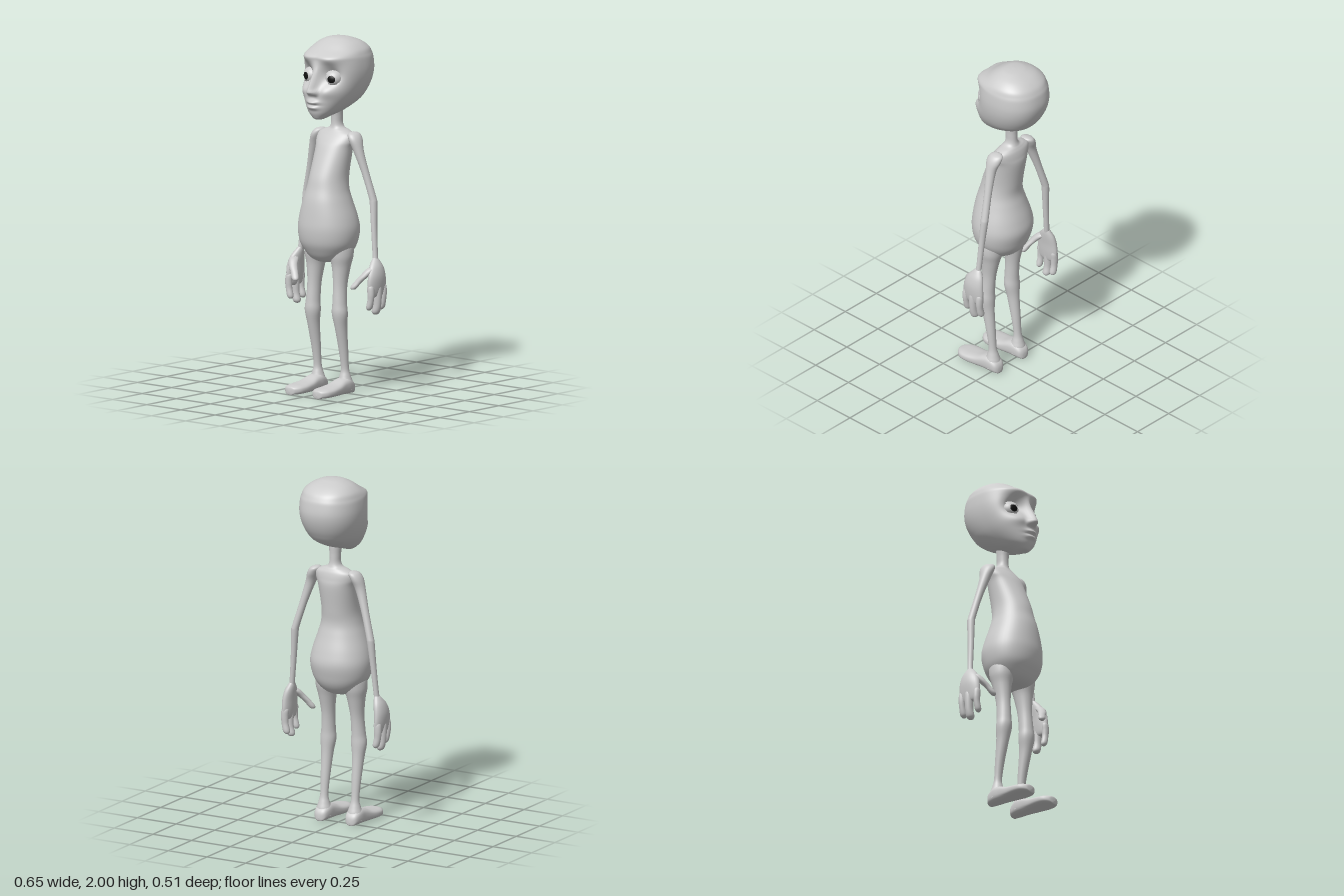
import * as THREE from 'three';

const skin = new THREE.MeshStandardMaterial({ color: 0xcccccc });
const dark = new THREE.MeshStandardMaterial({ color: 0x111111 });

// Smooth interpolation between the rows of a section table
function spline(rows, t) {
  const i = Math.min(Math.floor(t), rows.length - 2), f = t - i;
  const at = k => rows[Math.max(0, Math.min(rows.length - 1, k))];
  const [a, b, c, d] = [at(i - 1), at(i), at(i + 1), at(i + 2)];
  return b.map((_, k) => b[k] + 0.5 * f * (c[k] - a[k] +
    f * (2 * a[k] - 5 * b[k] + 4 * c[k] - d[k] + f * (3 * (b[k] - c[k]) + d[k] - a[k]))));
}

// Closed skin over horizontal sections [y, centreX, centreZ, radiusX, radiusZ], y rising
function loft(rows, { around = 28, steps = 5, power = 2, side = 1, deform } = {}) {
  const pos = [], index = [], count = (rows.length - 1) * steps;
  const bend = v => Math.sign(v) * Math.abs(v) ** (2 / power);
  const p = new THREE.Vector3();
  for (let r = 0; r <= count; r++) {
    const [y, cx, cz, rx, rz] = spline(rows, r / steps);
    for (let k = 0; k < around; k++) {
      const a = (k / around) * Math.PI * 2;
      p.set(side * cx + Math.max(0, rx) * bend(Math.cos(a)), y, cz + Math.max(0, rz) * bend(Math.sin(a)));
      if (deform) deform(p);
      pos.push(p.x, p.y, p.z);
      if (r < count) {
        const b = r * around + k, c = r * around + (k + 1) % around;
        index.push(b, b + around, c, c, b + around, c + around);
      }
    }
  }
  const g = new THREE.BufferGeometry();
  g.setAttribute('position', new THREE.Float32BufferAttribute(pos, 3));
  g.setIndex(index);
  g.computeVertexNormals();
  return g;
}

function add(parent, name, geometry, material = skin) {
  const mesh = new THREE.Mesh(geometry, material);
  mesh.name = name;
  parent.add(mesh);
  return mesh;
}

// Facial relief: sockets, brows, nose, cheeks and lips pushed along z
const bump = (v, centre, width) => Math.exp(-(((v - centre) / width) ** 2));
function sculptFace(p) {
  const ax = Math.abs(p.x), y = p.y;
  const front = THREE.MathUtils.smoothstep(p.z, 0.0, 0.09);
  const noseLength = THREE.MathUtils.smoothstep(y, 1.685, 1.712) *
    (1 - THREE.MathUtils.smoothstep(y, 1.71, 1.89));
  let dz = 0.052 * noseLength * bump(p.x, 0, 0.024);
  dz += 0.014 * bump(ax, 0.025, 0.014) * bump(y, 1.71, 0.018);
  dz -= 0.05 * bump(ax, 0.082, 0.05) * bump(y, 1.805, 0.05);
  dz += 0.016 * bump(ax, 0.085, 0.06) * bump(y, 1.895, 0.025);
  dz += 0.018 * bump(ax, 0.085, 0.045) * bump(y, 1.715, 0.035);
  dz += 0.024 * bump(p.x, 0, 0.034) * (bump(y, 1.654, 0.011) + 0.8 * bump(y, 1.625, 0.011));
  dz -= 0.012 * bump(p.x, 0, 0.04) * bump(y, 1.639, 0.006);
  p.z += dz * front;
}

function buildHead() {
  const head = new THREE.Group();
  head.name = 'head';
  add(head, 'skull', loft([
    [1.55, 0, 0.12, 0, 0], [1.555, 0, 0.115, 0.024, 0.027], [1.57, 0, 0.1, 0.048, 0.055],
    [1.6, 0, 0.054, 0.087, 0.114], [1.65, 0, 0.004, 0.127, 0.169], [1.7, 0, -0.022, 0.153, 0.188],
    [1.76, 0, -0.042, 0.171, 0.198], [1.82, 0, -0.051, 0.178, 0.202], [1.88, 0, -0.052, 0.175, 0.195],
    [1.91, 0, -0.05, 0.168, 0.187], [1.94, 0, -0.064, 0.152, 0.153], [1.97, 0, -0.065, 0.117, 0.11],
    [1.99, 0, -0.058, 0.073, 0.065], [1.997, 0, -0.056, 0.04, 0.036], [2.0, 0, -0.055, 0, 0],
  ], { around: 144, steps: 7, power: 2.25, deform: sculptFace }));

  // Eyes with lids
  for (const side of [1, -1]) {
    const eye = new THREE.Group();
    eye.name = side > 0 ? 'leftEye' : 'rightEye';
    eye.position.set(side * 0.08, 1.787, 0.083);
    eye.rotation.y = side * 0.2;
    eye.scale.x = 1.1;
    add(eye, 'eyeball', new THREE.SphereGeometry(0.045, 32, 20));
    const pupil = add(eye, 'pupil', new THREE.SphereGeometry(0.0458, 24, 6, 0, Math.PI * 2, 0, 0.48), dark);
    pupil.rotation.set(Math.PI / 2, 0, -side * 0.12);
    const lidMaterial = skin.clone();
    lidMaterial.side = THREE.DoubleSide;
    add(eye, 'upperLid', new THREE.SphereGeometry(0.05, 32, 10, 0, Math.PI * 2, 0, 0.95), lidMaterial).rotation.x = 0.1;
    add(eye, 'lowerLid', new THREE.SphereGeometry(0.05, 32, 10, 0, Math.PI * 2, Math.PI - 0.95, 0.95), lidMaterial).rotation.x = -0.1;
    head.add(eye);
  }
  return head;
}

function buildArm(side) {
  const arm = new THREE.Group();
  arm.name = side > 0 ? 'leftArm' : 'rightArm';
  add(arm, 'armLimb', loft([
    [0.75, 0.277, -0.04, 0.016, 0.018], [0.8, 0.271, -0.045, 0.015, 0.016], [0.95, 0.257, -0.052, 0.017, 0.018],
    [1.08, 0.246, -0.06, 0.021, 0.022], [1.12, 0.238, -0.059, 0.021, 0.022], [1.25, 0.2, -0.045, 0.022, 0.022],
    [1.37, 0.162, -0.031, 0.029, 0.03], [1.43, 0.14, -0.032, 0.034, 0.045], [1.46, 0.125, -0.036, 0.031, 0.042],
    [1.472, 0.118, -0.038, 0.018, 0.025], [1.476, 0.115, -0.038, 0, 0],
  ], { side }));

  // Palm, three fingers and thumb
  const hand = new THREE.Group();
  hand.name = 'hand';
  add(hand, 'palm', loft([
    [0.565, 0.297, -0.026, 0, 0], [0.575, 0.297, -0.026, 0.017, 0.055], [0.62, 0.298, -0.027, 0.026, 0.07],
    [0.68, 0.297, -0.028, 0.03, 0.067], [0.73, 0.289, -0.033, 0.028, 0.053], [0.765, 0.279, -0.039, 0.02, 0.03],
    [0.785, 0.273, -0.043, 0.01, 0.012], [0.79, 0.273, -0.043, 0, 0],
  ], { side }));
  for (const [z, tip, r] of [[0.026, 0.495, 0.019], [-0.029, 0.465, 0.024], [-0.077, 0.488, 0.02]]) {
    add(hand, 'finger', loft([
      [tip, 0.287, z, 0, 0], [tip + 0.004, 0.287, z, r * 0.6, r * 0.55], [tip + 0.02, 0.29, z, r, r * 0.95],
      [tip + 0.06, 0.299, z, r, r * 0.9], [0.59, 0.301, z, r * 1.1, r], [0.63, 0.298, z, r, r * 0.9], [0.65, 0.297, z, 0, 0],
    ], { side, around: 20 }));
  }
  add(hand, 'thumb', loft([
    [0.61, 0.212, 0.073, 0, 0], [0.614, 0.212, 0.073, 0.014, 0.012], [0.628, 0.217, 0.069, 0.022, 0.018],
    [0.655, 0.234, 0.056, 0.023, 0.018], [0.69, 0.262, 0.034, 0.026, 0.023], [0.725, 0.281, 0.004, 0.024, 0.026],
    [0.745, 0.288, -0.015, 0, 0],
  ], { side, around: 20 }));
  arm.add(hand);
  return arm;
}

function buildLeg(side) {
  const leg = new THREE.Group();
  leg.name = side > 0 ? 'leftLeg' : 'rightLeg';
  add(leg, 'legLimb', loft([
    [0.03, 0.1, 0.012, 0.046, 0.045], [0.07, 0.1, 0.012, 0.043, 0.043], [0.105, 0.1, 0.012, 0.032, 0.032],
    [0.15, 0.1, 0.014, 0.023, 0.022], [0.25, 0.1, 0.026, 0.027, 0.026], [0.38, 0.1, 0.047, 0.034, 0.036],
    [0.46, 0.099, 0.056, 0.045, 0.044], [0.52, 0.097, 0.055, 0.04, 0.042], [0.62, 0.094, 0.047, 0.038, 0.043],
    [0.72, 0.093, 0.037, 0.05, 0.056], [0.79, 0.09, 0.033, 0.066, 0.072], [0.86, 0.085, 0.03, 0.06, 0.07],
    [0.88, 0.085, 0.03, 0, 0],
  ], { side }));

  // Foot lofted from heel to toe, then laid along z: [z, halfWidth, height]
  const foot = [[-0.047, 0, 0.04], [-0.043, 0.022, 0.05], [-0.028, 0.038, 0.072], [0.01, 0.047, 0.095], [0.055, 0.05, 0.09],
    [0.11, 0.057, 0.07], [0.17, 0.064, 0.06], [0.215, 0.059, 0.056], [0.245, 0.038, 0.05], [0.254, 0.02, 0.043], [0.257, 0, 0.04]];
  const rows = foot.map(([z, w, h]) => [z, 0.1, -h / 2 - 0.004, w, w ? h / 2 - 0.002 : 0]);
  add(leg, 'foot', loft(rows, { side, power: 2.7, around: 36 }).rotateX(Math.PI / 2));
  return leg;
}

export function createModel() {
  const model = new THREE.Group();
  model.name = 'figure';

  // Pear-shaped body running up into the neck
  add(model, 'torso', loft([
    [0.74, 0, 0.04, 0, 0], [0.747, 0, 0.037, 0.06, 0.06], [0.77, 0, 0.035, 0.105, 0.1], [0.81, 0, 0.033, 0.141, 0.13],
    [0.86, 0, 0.035, 0.166, 0.151], [0.93, 0, 0.033, 0.175, 0.163], [1.0, 0, 0.037, 0.164, 0.155],
    [1.09, 0, 0.044, 0.136, 0.136], [1.16, 0, 0.042, 0.115, 0.119], [1.24, 0, 0.027, 0.105, 0.112],
    [1.37, 0, -0.01, 0.11, 0.093], [1.42, 0, -0.023, 0.122, 0.077], [1.455, 0, -0.033, 0.118, 0.06],
    [1.475, 0, -0.036, 0.085, 0.048], [1.49, 0, -0.036, 0.045, 0.04], [1.515, 0, -0.035, 0.031, 0.035],
    [1.56, 0, -0.034, 0.031, 0.035], [1.63, 0, -0.03, 0.034, 0.038], [1.65, 0, -0.03, 0, 0],
  ], { around: 48, steps: 6, power: 2.1 }));

  model.add(buildHead());
  for (const side of [1, -1]) model.add(buildArm(side), buildLeg(side));
  return model;
}
